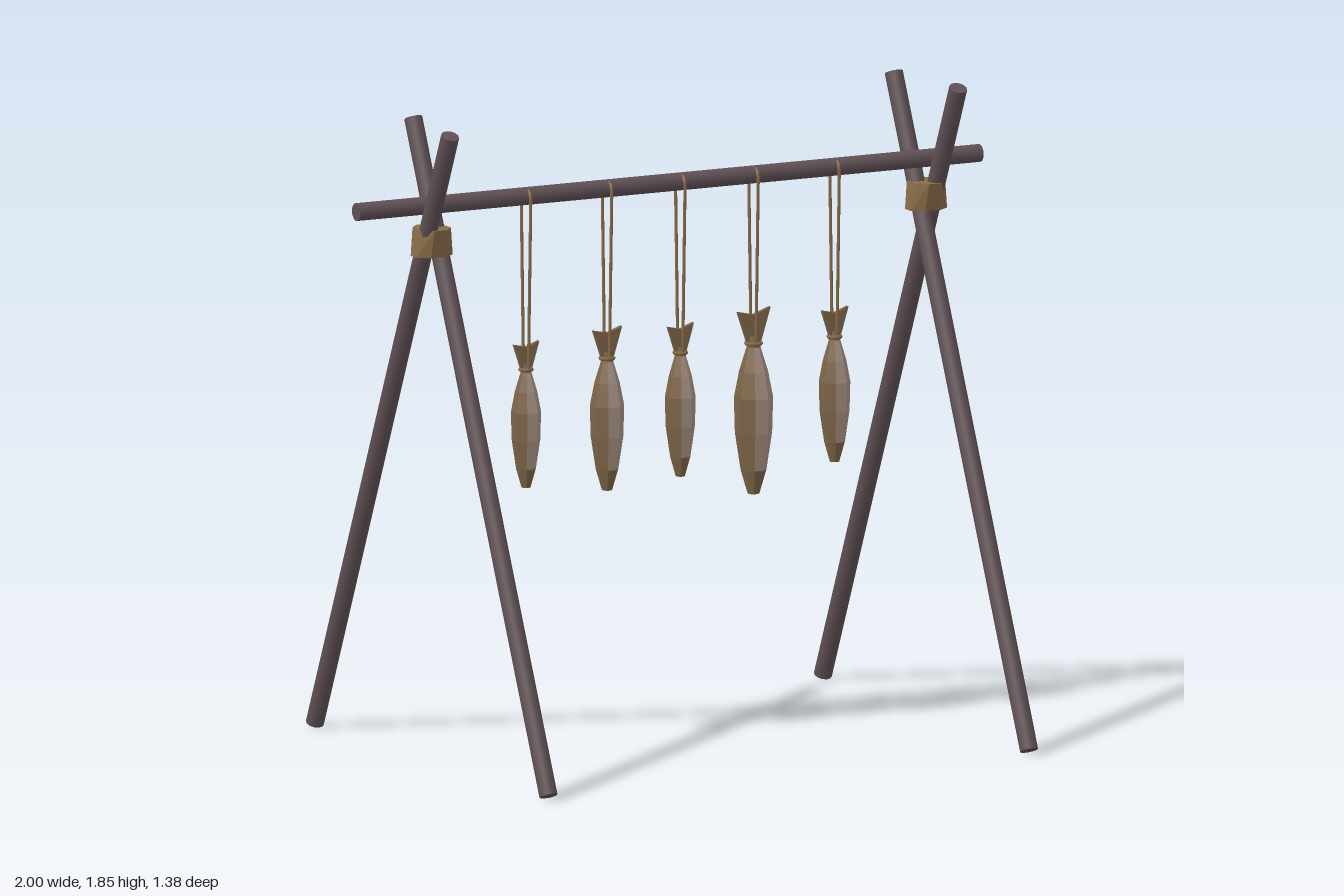
import * as THREE from 'three';

const material = (name, color, extra = {}) => Object.assign(new THREE.MeshStandardMaterial({ color, ...extra }), { name });

export function createModel() {
  const wood = material('dark wood', 0x5f5054);
  const cord = material('brown cord', 0x866a48);
  const skin = material('brown fish skin', 0x7d6548, { flatShading: true });
  const flesh = material('pale fish flesh', 0xa89284, { flatShading: true });
  const lash = material('lashing', 0x8a6c48, { flatShading: true });
  const model = new THREE.Group();
  model.name = 'fishDryingRack';

  const add = (parent, name, geometry, mat) => {
    const mesh = new THREE.Mesh(geometry, mat);
    mesh.name = name;
    parent.add(mesh);
    return mesh;
  };

  // Straight round pole between two points
  const pole = (name, a, b) => {
    const dir = b.clone().sub(a);
    const mesh = add(model, name, new THREE.CylinderGeometry(0.026, 0.026, dir.length(), 12), wood);
    mesh.position.copy(a).add(b).multiplyScalar(0.5);
    mesh.quaternion.setFromUnitVectors(new THREE.Vector3(0, 1, 0), dir.normalize());
  };
  const V = (x, y, z) => new THREE.Vector3(x, y, z);

  pole('crossbar', V(-1, 1.61, 0), V(1, 1.61, 0));

  // Crossed legs and their lashings
  for (const [side, frontX, backX] of [['right', -0.735, -0.78], ['left', 0.807, 0.85]]) {
    pole(side + 'FrontLeg', V(frontX, 0.011, 0.667), V(frontX, 1.835, -0.155));
    pole(side + 'BackLeg', V(backX, 0.011, -0.667), V(backX, 1.835, 0.155));
    const band = new THREE.CylinderGeometry(1, 1, 0.08, 8);
    band.rotateY(Math.PI / 8);
    const p = band.attributes.position;
    for (let i = 0; i < p.count; i++) {
      const top = p.getY(i) > 0;
      p.setX(i, p.getX(i) * (top ? 0.053 : 0.063));
      p.setZ(i, p.getZ(i) * (top ? 0.063 : 0.046));
    }
    band.computeVertexNormals();
    add(model, side + 'Lashing', band, lash).position.set((frontX + backX) / 2, 1.505, 0);
  }

  // Fish body cross-sections: height fraction, radius fraction (nose at the bottom)
  const sections = [[0, 0.3], [0.13, 0.66], [0.33, 0.95], [0.52, 1], [0.66, 0.74], [0.79, 0.36], [0.85, 0.3]];
  const SIDES = 8;

  // Collect the body's quads that satisfy a rule into one faceted geometry
  const bodyPart = (length, radius, keep) => {
    const out = [];
    const point = (s, j) => {
      const a = ((j - 0.5) / SIDES) * Math.PI * 2;
      const r = sections[s][1] * radius;
      return [Math.cos(a) * r, sections[s][0] * length, Math.sin(a) * r];
    };
    for (let s = 0; s < sections.length - 1; s++) {
      for (let j = 0; j < SIDES; j++) {
        if (!keep(s, j)) continue;
        const a = point(s, j), b = point(s, j + 1), c = point(s + 1, j + 1), d = point(s + 1, j);
        out.push(...a, ...d, ...c, ...a, ...c, ...b);
      }
    }
    // Flat nose cap
    if (keep(0, 0)) {
      for (let j = 0; j < SIDES; j++) out.push(0, 0, 0, ...point(0, j), ...point(0, j + 1));
    }
    const g = new THREE.BufferGeometry();
    g.setAttribute('position', new THREE.Float32BufferAttribute(out, 3));
    g.computeVertexNormals();
    return g;
  };

  // Pale flanks; brown nose, neck and back
  const isPale = (s, j) => s > 0 && s < 5 && (j < 3 || j > 5);

  const makeFish = (x, bottom, top, radius) => {
    const fish = new THREE.Group();
    fish.name = 'hangingFish';
    const length = top - bottom;
    add(fish, 'fishFlanks', bodyPart(length, radius, isPale), flesh);
    add(fish, 'fishBack', bodyPart(length, radius, (s, j) => !isPale(s, j)), skin);

    // Forked tail
    const w = radius * 0.92;
    const tail = new THREE.Shape();
    tail.moveTo(-w * 0.35, length * 0.8);
    tail.lineTo(w * 0.35, length * 0.8);
    tail.lineTo(w, length);
    tail.lineTo(0, length * 0.965);
    tail.lineTo(-w, length * 0.985);
    const fin = new THREE.ExtrudeGeometry(tail, { depth: 0.014, bevelEnabled: false });
    fin.translate(0, 0, -0.007);
    add(fish, 'fishTail', fin, skin);

    // Cord tied round the neck and looped over the crossbar
    const tie = add(fish, 'neckTie', new THREE.TorusGeometry(radius * 0.38, 0.006, 6, 12), cord);
    tie.rotation.x = Math.PI / 2;
    tie.position.y = length * 0.81;
    const loop = [[0.81, -0.015], [0, -0.029], [0, 0], [0, 0.029], [0.81, 0.015]].map(([t, z]) =>
      V(0, t ? t * length : (z ? 1.605 : 1.638) - bottom, z));
    const path = new THREE.CurvePath();
    path.add(new THREE.LineCurve3(loop[0], loop[1]));
    path.add(new THREE.CubicBezierCurve3(loop[1], V(0, loop[2].y + 0.001, -0.029), V(0, loop[2].y + 0.001, 0.029), loop[3]));
    path.add(new THREE.LineCurve3(loop[3], loop[4]));
    add(fish, 'hangingCord', new THREE.TubeGeometry(path, 80, 0.005, 6), cord);

    fish.position.set(x, bottom, 0);
    model.add(fish);
  };

  // Position, nose height, tail height, body radius
  [
    [-0.455, 0.77, 1.19, 0.043],
    [-0.195, 0.74, 1.21, 0.049],
    [0.04, 0.76, 1.2, 0.044],
    [0.275, 0.69, 1.225, 0.056],
    [0.535, 0.76, 1.205, 0.045],
  ].forEach((f) => makeFish(...f));

  return model;
}
